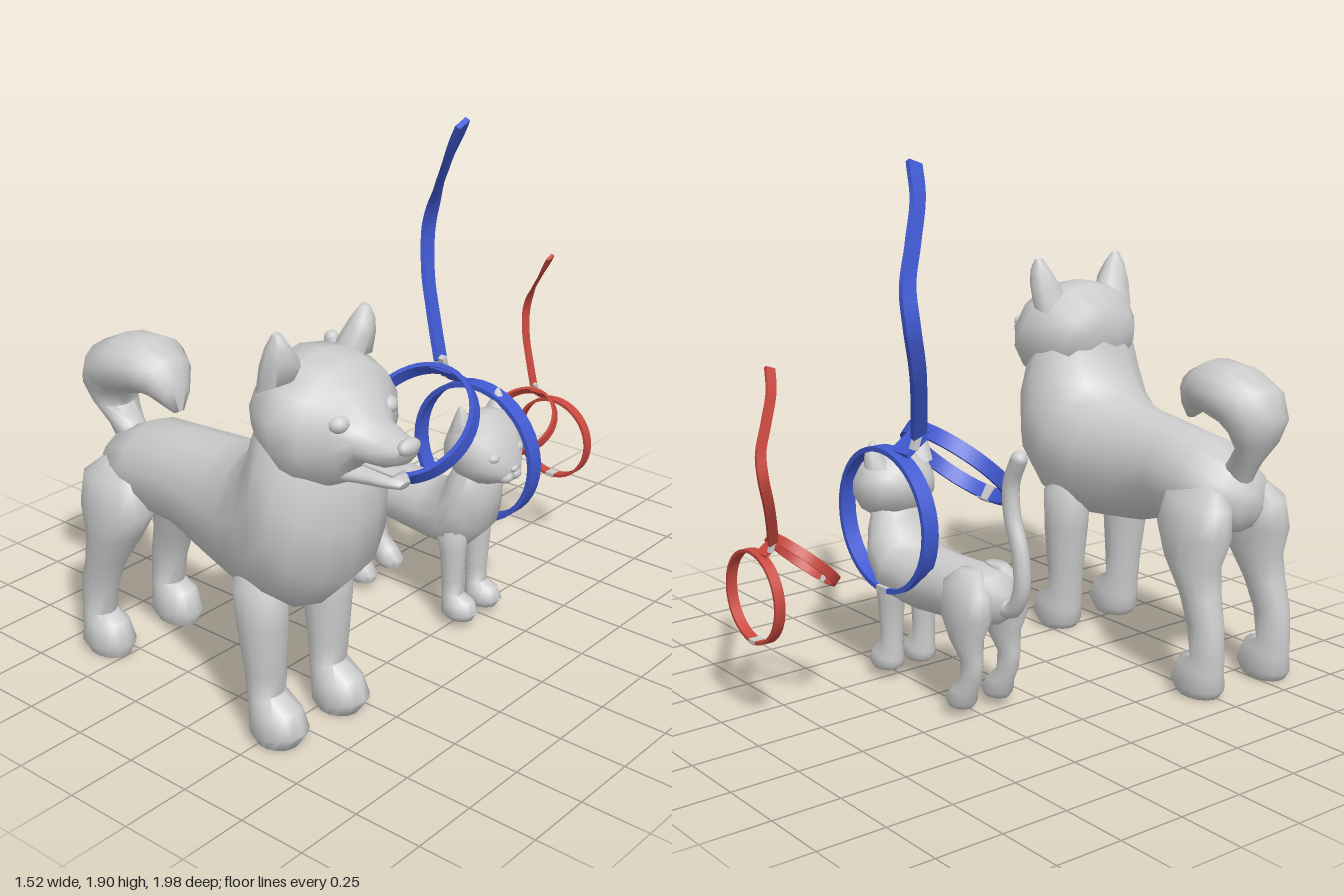
import * as THREE from 'three';
import { toCreasedNormals } from 'three/addons/utils/BufferGeometryUtils.js';

const grey = new THREE.MeshStandardMaterial({ color: 0xcccccc });
const V = (x, y, z) => new THREE.Vector3(x, y, z);

function add(parent, name, geometry, material = grey) {
  const mesh = new THREE.Mesh(geometry, material);
  mesh.name = name;
  parent.add(mesh);
  return mesh;
}

// Closed skin over rings of points, turned outward whatever the ring order
function skin(rings, crease) {
  const n = rings[0].length, pts = rings.flat(), idx = [];
  for (let i = 0; i < rings.length - 1; i++) {
    for (let j = 0; j < n; j++) {
      const a = i * n + j, b = i * n + (j + 1) % n;
      idx.push(a, b, a + n, b, b + n, a + n);
    }
  }
  for (const end of [0, rings.length - 1]) {
    const c = pts.length;
    pts.push(rings[end].reduce((s, p) => s.add(p), V(0, 0, 0)).divideScalar(n));
    for (let j = 0; j < n; j++) {
      const a = end * n + j, b = end * n + (j + 1) % n;
      if (end) idx.push(c, a, b); else idx.push(c, b, a);
    }
  }
  let volume = 0;
  for (let k = 0; k < idx.length; k += 3) {
    volume += pts[idx[k]].dot(V(0, 0, 0).crossVectors(pts[idx[k + 1]], pts[idx[k + 2]]));
  }
  if (volume < 0) idx.reverse();
  const g = new THREE.BufferGeometry().setFromPoints(pts);
  g.setIndex(idx);
  return toCreasedNormals(g, crease);
}

// Oval sections: [edge x, y, opposite edge x, y, half width in z, centre z]
function loft(sections, side = 1, n = 14) {
  return skin(sections.map(([x1, y1, x2, y2, w, z = 0]) =>
    Array.from({ length: n }, (_, j) => {
      const a = j / n * Math.PI * 2, c = Math.cos(a) / 2;
      return V((x1 + x2) / 2 + (x1 - x2) * c, (y1 + y2) / 2 + (y1 - y2) * c, z * side + w * Math.sin(a));
    })), 1.1);
}

function pair(parent, name, sections, n) {
  add(parent, name + 'Left', loft(sections, -1, n));
  add(parent, name + 'Right', loft(sections, 1, n));
}

function ball(parent, name, x, y, z, sx, sy, sz) {
  const m = add(parent, name, new THREE.SphereGeometry(1, 12, 8));
  m.position.set(x, y, z);
  m.scale.set(sx, sy, sz);
}

function makeDog() {
  const dog = new THREE.Group();
  dog.name = 'dog';
  add(dog, 'body', loft([
    [-.66, .73, -.64, .62, .05], [-.60, .82, -.60, .58, .14], [-.45, .89, -.44, .56, .18],
    [-.25, .915, -.25, .555, .165], [-.05, .935, -.05, .49, .185], [.07, .96, .15, .465, .23],
    [.15, 1.02, .36, .48, .265], [.19, 1.1, .50, .62, .275], [.21, 1.17, .525, .8, .26],
    [.23, 1.25, .525, .95, .22], [.28, 1.3, .49, 1.02, .19]]));
  add(dog, 'head', loft([
    [.195, 1.2, .21, 1.1, .08], [.21, 1.28, .24, 1.03, .17], [.28, 1.36, .33, .975, .23],
    [.38, 1.37, .42, .935, .26], [.48, 1.345, .50, .955, .225], [.55, 1.29, .55, 1.0, .15],
    [.60, 1.2, .59, 1.06, .095], [.68, 1.175, .67, 1.065, .075], [.745, 1.165, .73, 1.09, .05]]));
  add(dog, 'lowerJaw', loft([
    [.53, 1.06, .53, .98, .09], [.62, 1.045, .61, .99, .06], [.70, 1.045, .68, 1.0, .05],
    [.73, 1.03, .72, 1.005, .025]]));
  add(dog, 'tongue', loft([[.55, 1.065, .55, 1.045, .04], [.70, 1.055, .70, 1.04, .03]]));
  ball(dog, 'nose', .74, 1.15, 0, .025, .028, .045);
  for (const s of [-1, 1]) ball(dog, 'eye', .55, 1.2, s * .105, .035, .03, .038);
  pair(dog, 'ear', [[.28, 1.25, .41, 1.31, .08, .15], [.305, 1.35, .42, 1.375, .065, .165],
    [.335, 1.42, .415, 1.42, .04, .18], [.365, 1.465, .395, 1.46, .015, .187]], 8);
  pair(dog, 'frontLeg', [
    [.17, .63, .28, .63, .03, .15], [.13, .56, .33, .57, .085, .15], [.15, .42, .325, .42, .085, .148],
    [.175, .25, .31, .25, .072, .145], [.185, .15, .30, .17, .07, .143], [.19, .08, .375, .13, .085, .143],
    [.19, .025, .41, .06, .09, .143], [.21, 0, .37, 0, .07, .143]]);
  pair(dog, 'hindLeg', [
    [-.58, .77, -.46, .76, .03, .10], [-.67, .69, -.37, .72, .085, .13], [-.68, .58, -.34, .60, .10, .14],
    [-.64, .47, -.40, .50, .09, .15], [-.655, .37, -.49, .37, .07, .155], [-.685, .27, -.535, .26, .06, .16],
    [-.69, .15, -.56, .15, .06, .16], [-.685, .09, -.50, .13, .075, .16], [-.69, .03, -.465, .05, .085, .16],
    [-.67, 0, -.49, 0, .065, .16]]);
  add(dog, 'curledTail', loft([
    [-.62, .74, -.50, .80, .05], [-.67, .84, -.56, .85, .065], [-.73, .93, -.61, .90, .09],
    [-.76, 1.02, -.59, .95, .12], [-.71, 1.12, -.56, .97, .14], [-.58, 1.18, -.50, .98, .145],
    [-.45, 1.19, -.43, 1.0, .135], [-.35, 1.14, -.39, .99, .10], [-.31, 1.04, -.36, .97, .06],
    [-.31, .96, -.33, .95, .02]]));
  dog.position.z = .69;
  dog.rotation.y = -.065;
  return dog;
}

function makeCat() {
  const cat = new THREE.Group();
  cat.name = 'cat';
  add(cat, 'body', loft([
    [-.35, .46, -.34, .38, .03], [-.30, .52, -.30, .34, .10], [-.20, .53, -.20, .32, .12],
    [-.05, .525, -.05, .30, .115], [.10, .52, .10, .285, .125], [.18, .55, .25, .29, .145],
    [.21, .61, .34, .38, .145], [.23, .66, .36, .50, .125], [.26, .70, .36, .58, .10]]));
  add(cat, 'head', loft([
    [.19, .74, .20, .67, .06], [.22, .80, .23, .62, .12], [.28, .845, .29, .585, .155],
    [.34, .85, .35, .58, .16], [.39, .81, .39, .59, .135], [.425, .74, .42, .60, .09],
    [.455, .68, .445, .61, .045]]));
  ball(cat, 'nose', .45, .66, 0, .015, .014, .02);
  for (const s of [-1, 1]) {
    ball(cat, 'eye', .41, .71, s * .068, .022, .02, .03);
    ball(cat, 'muzzlePad', .43, .63, s * .025, .03, .025, .032);
  }
  pair(cat, 'ear', [[.24, .79, .33, .80, .05, .095], [.265, .845, .325, .845, .033, .105],
    [.285, .89, .295, .89, .006, .112]], 8);
  pair(cat, 'frontLeg', [
    [.17, .45, .27, .45, .02, .075], [.16, .39, .30, .40, .055, .075], [.19, .30, .29, .30, .05, .073],
    [.20, .18, .28, .18, .043, .072], [.20, .11, .28, .12, .042, .072], [.20, .07, .33, .10, .055, .072],
    [.20, .045, .35, .06, .06, .072], [.22, .03, .33, .03, .045, .072]]);
  pair(cat, 'hindLeg', [
    [-.27, .53, -.17, .53, .03, .06], [-.335, .46, -.11, .48, .06, .075], [-.345, .38, -.10, .36, .065, .08],
    [-.30, .29, -.155, .28, .052, .082], [-.305, .22, -.21, .21, .036, .082], [-.30, .16, -.205, .14, .034, .08],
    [-.265, .09, -.165, .105, .045, .08], [-.255, .05, -.13, .06, .055, .08], [-.24, .03, -.14, .03, .04, .08]]);
  const path = new THREE.CatmullRomCurve3([[-.29, .43], [-.37, .41], [-.425, .49], [-.42, .62],
    [-.375, .75], [-.37, .86], [-.41, .95]].map(([x, y]) => V(x, y, 0)));
  add(cat, 'tail', new THREE.TubeGeometry(path, 28, .03, 10));
  ball(cat, 'tailTip', -.41, .95, 0, .03, .03, .03);
  cat.position.z = -.215;
  return cat;
}

// Two strap loops, a joining strap and a wavy lead
function makeHarness(name, color) {
  const harness = new THREE.Group(), mat = new THREE.MeshStandardMaterial({ color });
  harness.name = name;

  function loop(part, r, w, position, tilt) {
    const o = r + .009, i = r - .009, h = w / 2;
    const profile = [[o, -h], [o, h], [i, h], [i, -h], [o, -h]].map(p => new THREE.Vector2(...p));
    const m = add(harness, part, toCreasedNormals(new THREE.LatheGeometry(profile, 40), .6), mat);
    m.position.set(...position);
    m.rotation.x = tilt;
  }
  loop('neckLoop', .225, .055, [.13, .80, -.06], .74);
  loop('chestLoop', .26, .062, [.2, .62, -.327], Math.PI / 2);

  const box = (part, size, position, tilt, material) => {
    const m = add(harness, part, new THREE.BoxGeometry(...size), material);
    m.position.set(...position);
    m.rotation.x = tilt;
  };
  box('joiningStrap', [.10, .018, .15], [.12, .92, -.265], -.6, mat);
  box('neckBuckle', [.06, .06, .026], [.17, .65, .104], .74 - .05, grey);
  box('chestBuckle', [.06, .026, .066], [.2, .36, -.327], 0, grey);
  box('leadClasp', [.025, .08, .025], [.075, .935, -.285], .3, grey);

  const curve = new THREE.CatmullRomCurve3([[.225, 1.88, -.175], [.15, 1.77, -.215], [.02, 1.63, -.33],
    [-.095, 1.50, -.435], [-.13, 1.38, -.445], [-.09, 1.23, -.395], [-.02, 1.10, -.34],
    [.06, .95, -.285]].map(p => V(...p)));
  const rings = [];
  for (let k = 0; k <= 36; k++) {
    const p = curve.getPoint(k / 36), t = curve.getTangent(k / 36);
    const w = V(0, 0, 0).crossVectors(t, V(1, 0, 0)).normalize();
    const d = V(0, 0, 0).crossVectors(t, w);
    rings.push([[1, 1], [1, -1], [-1, -1], [-1, 1]].map(([a, b]) =>
      p.clone().addScaledVector(w, a * .03).addScaledVector(d, b * .01)));
  }
  add(harness, 'lead', skin(rings, .6), mat);
  return harness;
}

export function createModel() {
  const model = new THREE.Group();
  model.name = 'dogAndCatWithHarnesses';
  const large = makeHarness('blueHarness', 0x4059d0);
  const small = makeHarness('redHarness', 0xc8483f);
  small.scale.setScalar(.615);
  small.position.set(.03, .085, -.705);
  model.add(makeDog(), makeCat(), large, small);
  return model;
}
